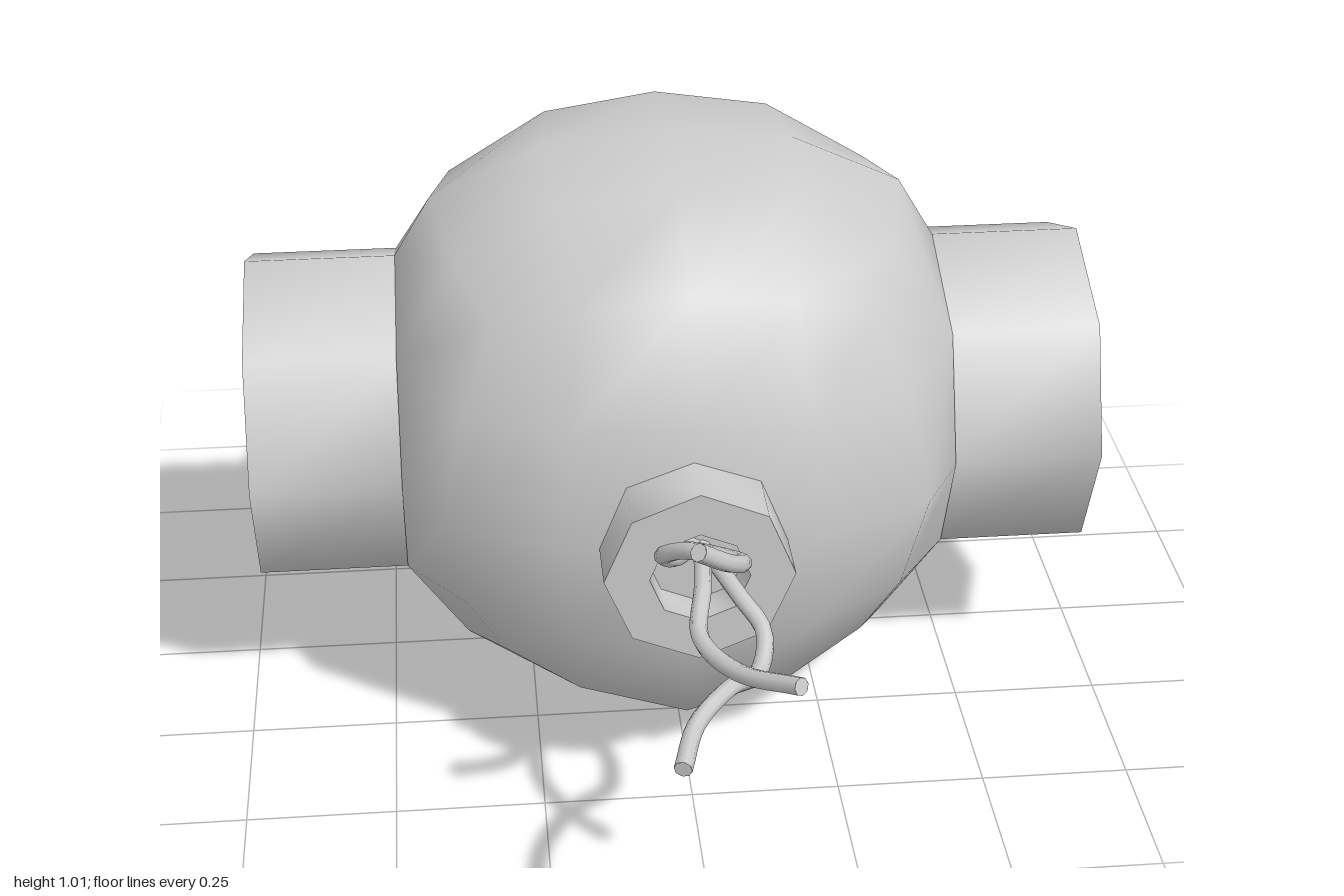
import * as THREE from 'three';
import { mergeVertices, toCreasedNormals } from 'three/addons/utils/BufferGeometryUtils.js';

const CENTRE_Y = 0.51;

const material = () => new THREE.MeshStandardMaterial({ color: 0xcccccc, side: THREE.DoubleSide });

function addMesh(parent, geometry, name) {
  const mesh = new THREE.Mesh(geometry, material());
  mesh.name = name;
  parent.add(mesh);
  return mesh;
}

// Rounded cube: a 4 x 4 x 4 box whose grid points move to [outer, inner] offsets
// depending on how close they lie to a face centre, an edge or a corner.
function bodyGeometry() {
  const offsets = {
    '00': [0.51, 0], '10': [0.487, 0.215], '20': [0.4, 0],
    '11': [0.465, 0.195], '21': [0.365, 0.18], '22': [0.31, 0],
  };
  let geometry = new THREE.BoxGeometry(4, 4, 4, 4, 4, 4);
  geometry.deleteAttribute('uv');
  geometry.deleteAttribute('normal');
  geometry = mergeVertices(geometry);
  const pos = geometry.attributes.position;
  for (let i = 0; i < pos.count; i++) {
    const p = [pos.getX(i), pos.getY(i), pos.getZ(i)].map(Math.round);
    const levels = p.map(Math.abs).sort((a, b) => b - a);
    const [outer, inner] = offsets[`${levels[1]}${levels[2]}`];
    let q = p.map((v) => Math.sign(v) * (Math.abs(v) === 2 ? outer : inner));
    // The side faces are flat octagons where the pipes join
    if (Math.abs(p[0]) === 2 && levels[1] < 2) {
      const r = levels[2] === 1 ? 0.205 : 0.29;
      q = [Math.sign(p[0]) * 0.465, p[1] * r, p[2] * r];
    }
    pos.setXYZ(i, q[0], q[1] * 0.99, q[2] * 1.02);
  }
  geometry.computeVertexNormals();
  return geometry;
}

// Eight-sided pipe along +y with a recessed end
function pipeGeometry(radius, inner, start, end, depth) {
  const profile = [
    [radius, start], [radius, end], [inner, end], [inner, end - depth], [0, end - depth],
  ].map(([x, y]) => new THREE.Vector2(x, y));
  return toCreasedNormals(new THREE.LatheGeometry(profile, 8), THREE.MathUtils.degToRad(50));
}

// Loose wire through a few points, with a flat cap on its free end
function addWire(parent, points, name) {
  const radius = 0.014;
  const curve = new THREE.CatmullRomCurve3(points.map((p) => new THREE.Vector3(...p)));
  const wire = new THREE.Group();
  wire.name = name;
  addMesh(wire, new THREE.TubeGeometry(curve, 28, radius, 8), 'wireStrand');
  const cap = addMesh(wire, new THREE.CircleGeometry(radius, 8), 'wireEnd');
  cap.position.copy(curve.getPoint(1));
  cap.quaternion.setFromUnitVectors(new THREE.Vector3(0, 0, 1), curve.getTangent(1));
  parent.add(wire);
}

export function createModel() {
  const model = new THREE.Group();
  model.name = 'junctionBall';

  addMesh(model, bodyGeometry(), 'body').position.y = CENTRE_Y;

  // Wide pipes left and right, narrow necks front and back
  for (const side of [1, -1]) {
    const pipe = addMesh(model, pipeGeometry(0.29, 0.262, 0.45, 0.717, 0.04),
      side > 0 ? 'leftPipe' : 'rightPipe');
    pipe.position.y = CENTRE_Y;
    pipe.rotation.z = -side * Math.PI / 2;

    const neck = addMesh(model, pipeGeometry(0.152, 0.08, 0.48, 0.602, 0.06),
      side > 0 ? 'frontNeck' : 'backNeck');
    neck.position.y = CENTRE_Y;
    neck.rotation.x = side * Math.PI / 2;
  }

  // Wires hanging out of the necks
  const frontWires = [
    [[0, 0.53, 0.53], [-0.04, 0.555, 0.61], [-0.065, 0.6, 0.67], [-0.03, 0.645, 0.73],
      [0.04, 0.665, 0.8], [0.015, 0.7, 0.855], [-0.035, 0.75, 0.9]],
    [[0.01, 0.53, 0.53], [0, 0.52, 0.64], [-0.015, 0.5, 0.75], [0.03, 0.51, 0.86], [0.11, 0.55, 0.96]],
    [[0.02, 0.51, 0.53], [0.06, 0.49, 0.63], [0.09, 0.465, 0.69], [0.075, 0.44, 0.76],
      [0.02, 0.46, 0.83], [-0.035, 0.45, 0.9], [-0.065, 0.44, 0.995]],
  ];
  const backWires = [
    [[0.02, 0.54, -0.53], [0.03, 0.57, -0.61], [0.055, 0.54, -0.68], [0.11, 0.47, -0.705],
      [0.18, 0.46, -0.72], [0.22, 0.465, -0.77], [0.25, 0.465, -0.83], [0.3, 0.46, -0.885]],
    [[0, 0.54, -0.53], [0.02, 0.58, -0.62], [0.055, 0.615, -0.68], [0.03, 0.61, -0.74],
      [-0.05, 0.54, -0.79], [-0.07, 0.52, -0.83], [-0.05, 0.565, -0.92], [-0.05, 0.59, -0.995]],
    [[-0.02, 0.51, -0.53], [-0.04, 0.54, -0.63], [-0.085, 0.555, -0.73],
      [-0.15, 0.54, -0.82], [-0.185, 0.555, -0.88], [-0.21, 0.575, -0.95]],
  ];
  frontWires.forEach((points, i) => addWire(model, points, `frontWire${i + 1}`));
  backWires.forEach((points, i) => addWire(model, points, `backWire${i + 1}`));

  return model;
}
